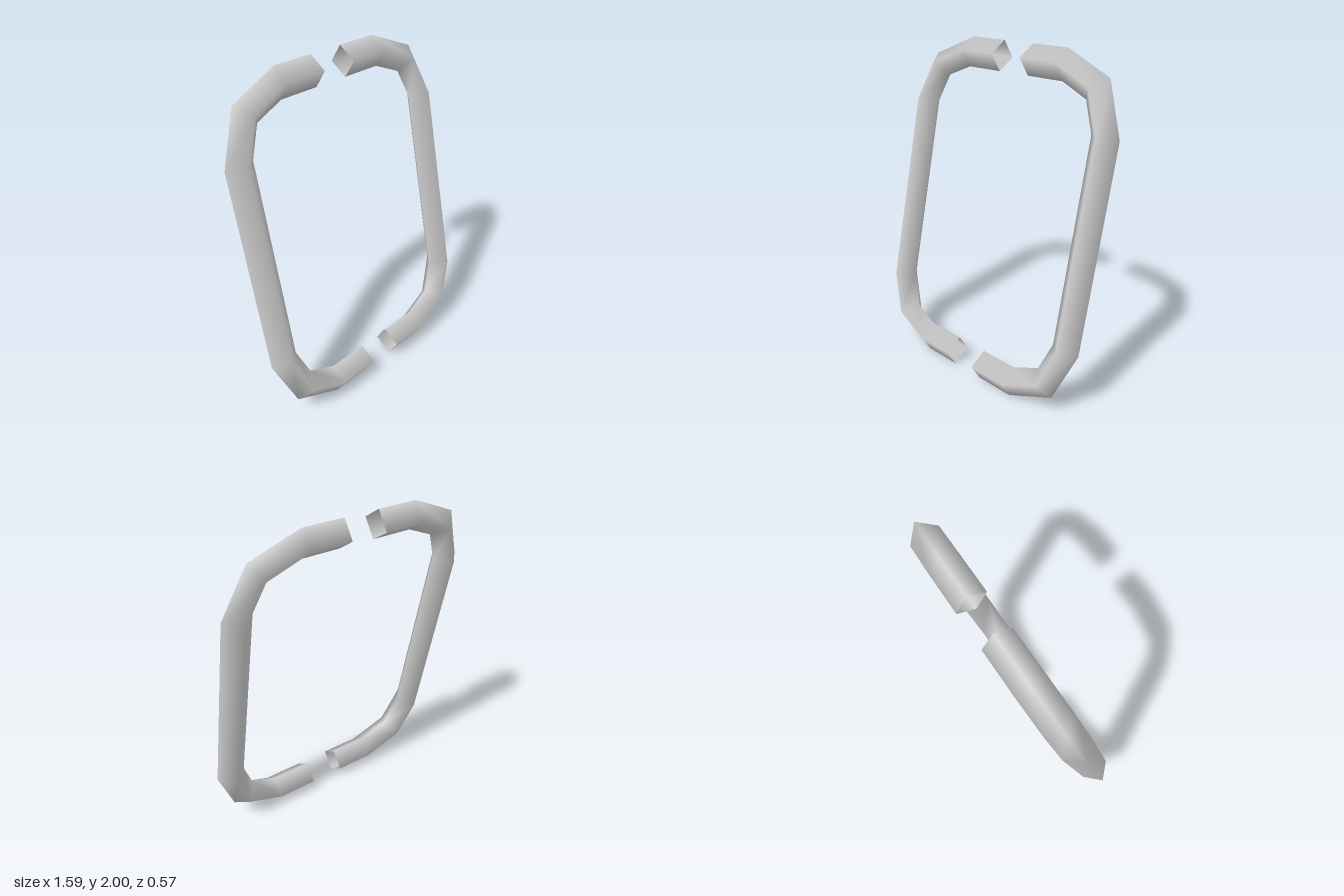
import * as THREE from 'three';

const SIDES = 4;          // diamond-shaped section
const R = 0.09;           // tube radius
const TILT = -0.213;      // backward lean
const CX = 0.365, CY = 0.593, BEND = 0.339; // corner arc centre and radius
const GAP = 0.11;         // half of the opening between the two halves

// Stations along one half frame, bottom to top: [x, y, outward angle]
function stations() {
  const list = [[GAP, -CY - BEND, -Math.PI / 2]];
  for (const s of [-1, 1]) {
    for (let i = 0; i <= 2; i++) {
      const a = s < 0 ? (i - 2) * Math.PI / 4 : i * Math.PI / 4;
      list.push([CX + BEND * Math.cos(a), s * CY + BEND * Math.sin(a), a]);
    }
  }
  list.push([GAP, CY + BEND, Math.PI / 2]);
  return list;
}

// Open tube with smooth radial normals swept through the stations
function halfFrameGeometry() {
  const pos = [], nor = [], idx = [];
  const path = stations();
  path.forEach(([x, y, a], i) => {
    for (let k = 0; k < SIDES; k++) {
      const phi = k / SIDES * Math.PI * 2;
      const n = [Math.cos(a) * Math.cos(phi), Math.sin(a) * Math.cos(phi), Math.sin(phi)];
      pos.push(x + R * n[0], y + R * n[1], R * n[2]);
      nor.push(...n);
      if (i < path.length - 1) {
        const p = i * SIDES + k, q = i * SIDES + (k + 1) % SIDES;
        idx.push(p, p + SIDES, q, q, p + SIDES, q + SIDES);
      }
    }
  });
  const g = new THREE.BufferGeometry();
  g.setAttribute('position', new THREE.Float32BufferAttribute(pos, 3));
  g.setAttribute('normal', new THREE.Float32BufferAttribute(nor, 3));
  g.setIndex(idx);
  return g;
}

export function createModel() {
  const material = new THREE.MeshStandardMaterial({ color: 0xcccccc, side: THREE.DoubleSide });
  const geometry = halfFrameGeometry();

  // Leaning frame made of two matching halves
  const frame = new THREE.Group();
  frame.name = 'tubeFrame';
  ['leftHalf', 'rightHalf'].forEach((name, i) => {
    const half = new THREE.Mesh(geometry, material);
    half.name = name;
    half.rotation.z = i * Math.PI;
    frame.add(half);
  });
  frame.rotation.x = TILT;
  frame.position.y = 1;

  const model = new THREE.Group();
  model.name = 'splitTubeFrame';
  model.add(frame);
  return model;
}
